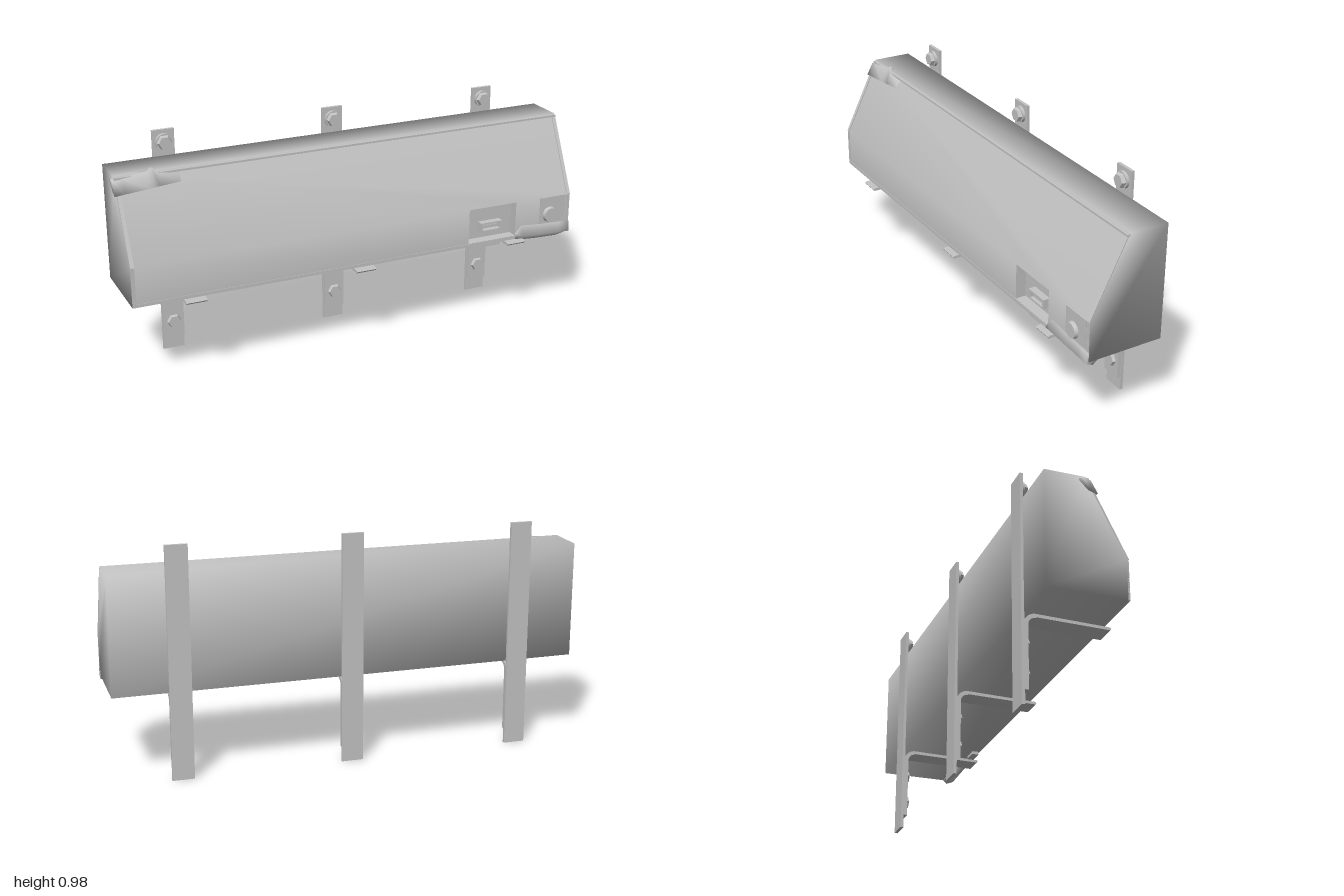
import * as THREE from 'three';

const steel = new THREE.MeshStandardMaterial({ color: 0xc4c4c4, side: THREE.DoubleSide });
steel.name = 'grey steel';

function add(parent, name, geometry, x = 0, y = 0, z = 0) {
  const mesh = new THREE.Mesh(geometry, steel);
  mesh.name = name;
  mesh.position.set(x, y, z);
  parent.add(mesh);
  return mesh;
}

// Convex polygons on shared points, so neighbouring faces shade smoothly
function faces(points, polys) {
  const index = [];
  for (const p of polys) {
    for (let i = 1; i < p.length - 1; i++) index.push(p[0], p[i], p[i + 1]);
  }
  const g = new THREE.BufferGeometry();
  g.setAttribute('position', new THREE.Float32BufferAttribute(points.flat(), 3));
  g.setIndex(index);
  g.computeVertexNormals();
  return g;
}

// Skin over cross-sections of equal length, running along +x, with closed ends
function loft(sections) {
  const n = sections[0].pts.length;
  const points = sections.flatMap(s => s.pts.map(([y, z]) => [s.x, y, z]));
  const ring = k => Array.from({ length: n }, (_, i) => k * n + i);
  const polys = [ring(0).reverse(), ring(sections.length - 1)];
  for (let k = 0; k < sections.length - 1; k++) {
    for (let i = 0; i < n; i++) {
      const j = (i + 1) % n;
      polys.push([k * n + i, k * n + j, (k + 1) * n + j, (k + 1) * n + i]);
    }
  }
  return faces(points, polys);
}

// Thin bar between two points
function bar(parent, name, a, b, width) {
  const p = new THREE.Vector3(...a), q = new THREE.Vector3(...b);
  const m = add(parent, name, new THREE.BoxGeometry(width, 0.008, p.distanceTo(q)));
  m.position.copy(p).add(q).multiplyScalar(0.5);
  m.lookAt(q);
}

// Hexagonal bolt head on a washer, facing +z
function bolt(parent, x, y) {
  const g = new THREE.Group();
  g.name = 'bolt';
  add(g, 'washer', new THREE.CylinderGeometry(0.035, 0.035, 0.014, 24).rotateX(Math.PI / 2), 0, 0, 0.007);
  const head = new THREE.CylinderGeometry(0.027, 0.032, 0.016, 6).toNonIndexed();
  head.computeVertexNormals();
  add(g, 'boltHead', head.rotateX(Math.PI / 2).rotateZ(Math.PI / 6), 0, 0, 0.022);
  g.position.set(x, y, -0.17);
  parent.add(g);
  return g;
}

export function createModel() {
  const model = new THREE.Group();
  model.name = 'wallCabinet';
  const L = -0.99, R = 1;

  // Housing: top, back, underside and ends
  const profile = [[0.865, -0.17], [0.868, 0], [0.545, 0.16], [0.375, 0.16], [0.372, -0.17]];
  const shell = [L, R].flatMap(x => profile.map(([y, z]) => [x, y, z]));
  add(model, 'housing', faces(shell, [
    [4, 3, 2, 1, 0], [5, 6, 7, 8, 9], [1, 6, 5, 0], [4, 9, 8, 3], [0, 5, 9, 4],
  ]));

  // Front cover: sloped face and lower band around the latch recess
  const x0 = 0.5, x1 = 0.73, floor = 0.39, deep = 0.115;
  const cols = [L, x0, x1, R];
  const front = [
    [L, 0.868, 0], [R, 0.868, 0],
    ...cols.map(x => [x, 0.545, 0.16]),
    ...cols.map(x => [x, 0.375, 0.16]),
    [x0, floor, 0.16], [x1, floor, 0.16],
  ];
  add(model, 'frontCover', faces(front, [
    [0, 2, 3, 4, 5, 1], [2, 6, 7, 3], [4, 8, 9, 5], [10, 7, 8, 11],
  ]));

  // Latch recess: back wall and four sides
  const corners = [[x0, floor], [x1, floor], [x1, 0.545], [x0, 0.545]];
  const recess = [0.16, deep].flatMap(z => corners.map(([x, y]) => [x, y, z]));
  const recessGeometry = faces(recess, [
    [4, 5, 6, 7], [0, 1, 5, 4], [1, 2, 6, 5], [2, 3, 7, 6], [3, 0, 4, 7],
  ]).toNonIndexed();
  recessGeometry.computeVertexNormals();
  add(model, 'latchRecess', recessGeometry);

  // Latch: small frame with a bar inside
  for (const s of [-1, 1]) {
    add(model, 'latchFrameSide', new THREE.BoxGeometry(0.01, 0.04, 0.03), 0.62 + s * 0.047, 0.445, deep + 0.015);
    add(model, 'latchFrameRail', new THREE.BoxGeometry(0.104, 0.008, 0.03), 0.62, 0.445 + s * 0.017, deep + 0.015);
  }
  add(model, 'latchBar', new THREE.BoxGeometry(0.07, 0.014, 0.02), 0.62, 0.445, deep + 0.01);
  add(model, 'latchTab', new THREE.BoxGeometry(0.07, 0.014, 0.03), 0.625, 0.367, 0.14);

  // Narrow raised edging around the cover
  bar(model, 'topEdging', [L, 0.86, 0.005], [R, 0.86, 0.005], 0.014);
  add(model, 'bottomEdging', new THREE.BoxGeometry(R - L, 0.014, 0.008), 0.005, 0.382, 0.158);
  for (const x of [L + 0.008, R - 0.008]) {
    bar(model, 'slopeEdging', [x, 0.862, 0.003], [x, 0.545, 0.16], 0.016);
    add(model, 'sideEdging', new THREE.BoxGeometry(0.016, 0.17, 0.008), x, 0.46, 0.158);
  }

  // Knob on its plate
  add(model, 'knobPlate', new THREE.BoxGeometry(0.13, 0.12, 0.006), 0.915, 0.485, 0.16);
  add(model, 'knob', new THREE.CylinderGeometry(0.031, 0.036, 0.02, 32).rotateX(Math.PI / 2), 0.9, 0.465, 0.168);

  // Crumpled flap at the upper corner
  const upper = (x, back, ridge, zRidge, low, zLow) => ({
    x, pts: [[0.85, -0.03], [back, -0.015], [ridge, zRidge], [low, zLow], [low + 0.01, 0.01]],
  });
  add(model, 'upperFlap', loft([
    upper(-1, 0.855, 0.85, 0.015, 0.8, 0.042),
    upper(-0.96, 0.862, 0.858, 0.015, 0.805, 0.044),
    upper(-0.86, 0.87, 0.872, 0.008, 0.812, 0.04),
    upper(-0.84, 0.872, 0.886, 0.002, 0.814, 0.038),
    upper(-0.815, 0.868, 0.862, 0.014, 0.816, 0.038),
    upper(-0.73, 0.864, 0.85, 0.016, 0.82, 0.03),
  ]));

  // Crumpled flap at the lower corner
  const lower = (x, top, zTop, nose, low, zLow) => ({
    x, pts: [[0.375, 0.12], [top, 0.15], [top, zTop], [nose, 0.172], [low, zLow]],
  });
  add(model, 'lowerFlap', loft([
    lower(0.73, 0.4, 0.162, 0.385, 0.368, 0.15),
    lower(0.76, 0.432, 0.163, 0.385, 0.362, 0.15),
    lower(0.85, 0.425, 0.165, 0.38, 0.356, 0.15),
    lower(0.95, 0.42, 0.166, 0.375, 0.352, 0.148),
    lower(1, 0.418, 0.166, 0.372, 0.358, 0.14),
  ]));

  // Wall straps, each with a bent support bracket and three bolts
  const bend = new THREE.Shape();
  bend.moveTo(-0.17, 0.06);
  bend.lineTo(-0.17, 0.32);
  bend.absarc(-0.122, 0.324, 0.048, Math.PI, Math.PI / 2, true);
  bend.lineTo(0.18, 0.37);
  bend.lineTo(0.184, 0.364);
  bend.lineTo(0.18, 0.358);
  bend.lineTo(-0.122, 0.358);
  bend.absarc(-0.122, 0.324, 0.031, Math.PI / 2, Math.PI, false);
  bend.lineTo(-0.153, 0.06);
  const bracket = new THREE.ExtrudeGeometry(bend, { depth: 0.088, bevelEnabled: false, curveSegments: 8 });
  bracket.translate(0, 0, -0.044).rotateY(-Math.PI / 2);
  // The bracket shape is drawn with z across, so turn it to face forward
  for (const x of [-0.735, 0.005, 0.725]) {
    add(model, 'wallStrap', new THREE.BoxGeometry(0.092, 0.975, 0.013), x, 0.4875, -0.1755);
    add(model, 'supportBracket', bracket, x);
    bolt(model, x, 0.925);
    for (const y of [0.255, 0.132]) bolt(model, x, y);
  }
  return model;
}
